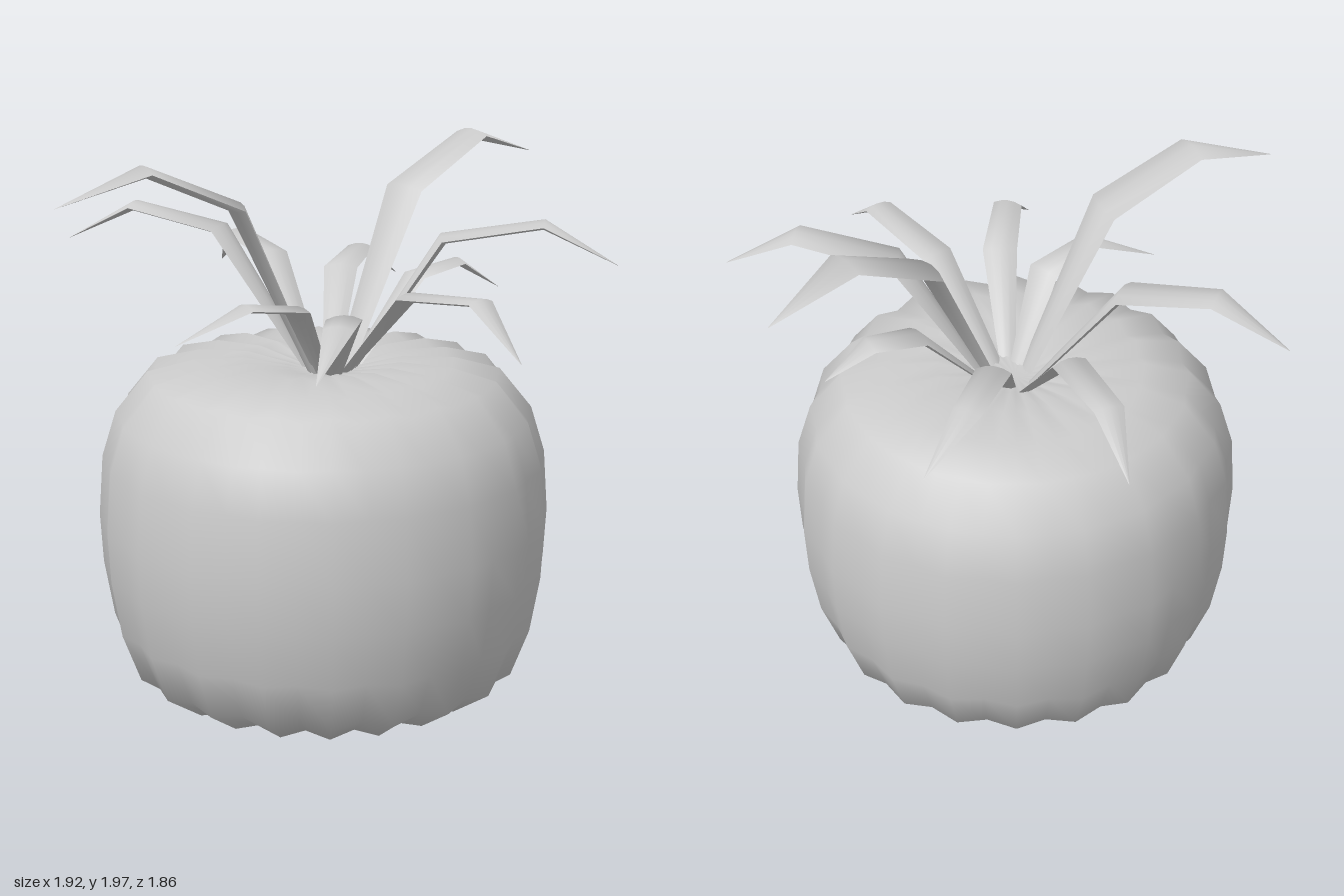
import * as THREE from 'three';
import { mergeVertices } from 'three/addons/utils/BufferGeometryUtils.js';

const material = new THREE.MeshStandardMaterial({ color: 0xcccccc, side: THREE.DoubleSide });

// Softly ribbed fruit: a lathe whose columns alternate between crest and valley
function createFruit() {
  const profile = [[0, 0.09], [0.2, 0.07], [0.4, 0.04], [0.55, 0.04], [0.69, 0.13], [0.755, 0.3], [0.79, 0.5],
    [0.8, 0.68], [0.785, 0.9], [0.735, 1.06], [0.62, 1.2], [0.46, 1.24], [0.28, 1.25], [0.13, 1.225], [0, 1.2]]
    .map(([r, y]) => new THREE.Vector2(r, y));
  const ribs = 20;
  const lathe = new THREE.LatheGeometry(profile, ribs * 2);
  lathe.deleteAttribute('uv');
  lathe.deleteAttribute('normal');
  const p = lathe.attributes.position;
  for (let i = 0; i < p.count; i++) {
    const x = p.getX(i), y = p.getY(i), z = p.getZ(i);
    const wave = Math.cos(Math.atan2(x, z) * ribs);
    const s = 1 + wave * 0.014;
    // Scalloped hem around the bottom and top rims
    const rim = Math.max(0, Math.abs(y - 0.65) / 0.6 - 0.4) * Math.min(1, Math.hypot(x, z) / 0.4);
    p.setXYZ(i, x * s, y + Math.sign(y - 0.65) * wave * 0.022 * rim, z * s);
  }
  const geometry = mergeVertices(lathe, 0.001);
  geometry.computeVertexNormals();
  const fruit = new THREE.Mesh(geometry, material);
  fruit.name = 'fruit';
  fruit.position.set(0.03, 0, 0.07);
  return fruit;
}

// Thin blade with a lens-shaped section swept through four stations
function createLeaf(points, width) {
  const path = points.map(p => new THREE.Vector3(...p));
  const widths = [0.45, 1, 0.85, 0.02], across = 4, positions = [], indices = [];
  const loop = 2 * (across + 1);
  path.forEach((point, i) => {
    const along = path[Math.min(i + 1, 3)].clone().sub(path[Math.max(i - 1, 0)]).normalize();
    const side = new THREE.Vector3(along.z, 0, -along.x).normalize();
    const up = new THREE.Vector3().crossVectors(along, side).normalize();
    for (let k = 0; k < loop; k++) {
      const under = k > across;
      const u = (under ? loop - 1 - k : k) / across * 2 - 1;
      const w = width * widths[i];
      const rise = w * (1 - u * u) * (under ? -0.13 : 0.13);
      const v = point.clone().addScaledVector(side, u * w / 2).addScaledVector(up, rise);
      positions.push(v.x, v.y, v.z);
    }
  });
  for (let i = 0; i < 3; i++) {
    for (let k = 0; k < loop; k++) {
      const a = i * loop + k, b = i * loop + (k + 1) % loop;
      indices.push(a, a + loop, b, b, a + loop, b + loop);
    }
  }
  const geometry = new THREE.BufferGeometry();
  geometry.setAttribute('position', new THREE.Float32BufferAttribute(positions, 3));
  geometry.setIndex(indices);
  geometry.computeVertexNormals();
  return new THREE.Mesh(geometry, material);
}

export function createModel() {
  const model = new THREE.Group();
  model.name = 'pineapple';
  model.add(createFruit());

  const crown = new THREE.Group();
  crown.name = 'crown';
  // Base, rise, bend and tip of each leaf
  const tall = [
    [[0.06, 1.2, -0.01], [0.13, 1.82, -0.3], [0.22, 1.98, -0.62], [0.29, 1.88, -0.93]],
    [[0.02, 1.2, 0.12], [-0.14, 1.83, 0.36], [-0.31, 1.98, 0.65], [-0.47, 1.88, 0.93]],
  ];
  const medium = [
    [[0.1, 1.2, 0], [0.38, 1.69, -0.16], [0.7, 1.75, -0.31], [0.93, 1.61, -0.43]],
    [[-0.04, 1.2, 0.06], [-0.38, 1.69, 0.13], [-0.7, 1.75, 0.21], [-0.96, 1.61, 0.27]],
  ];
  const low = [
    [[-0.05, 1.2, 0.01], [-0.35, 1.55, -0.15], [-0.62, 1.57, -0.31], [-0.79, 1.42, -0.44]],
    [[0.11, 1.2, 0.07], [0.42, 1.54, 0.13], [0.75, 1.58, 0.21], [0.96, 1.42, 0.3]],
    [[0.1, 1.2, 0.12], [0.3, 1.49, 0.35], [0.43, 1.52, 0.58], [0.47, 1.38, 0.77]],
    [[0.01, 1.2, 0], [-0.13, 1.5, -0.28], [-0.21, 1.52, -0.54], [-0.2, 1.38, -0.77]],
    [[0.06, 1.2, 0.12], [0.09, 1.49, 0.33], [0.03, 1.53, 0.54], [-0.12, 1.42, 0.74]],
    [[0.09, 1.2, -0.02], [0.19, 1.51, -0.28], [0.27, 1.54, -0.45], [0.36, 1.43, -0.59]],
  ];
  for (const [name, leaves, width] of [['tallLeaf', tall, 0.18], ['mediumLeaf', medium, 0.15], ['lowLeaf', low, 0.125]]) {
    leaves.forEach((points, i) => {
      const leaf = createLeaf(points, width);
      leaf.name = name + (i + 1);
      crown.add(leaf);
    });
  }
  model.add(crown);
  return model;
}
